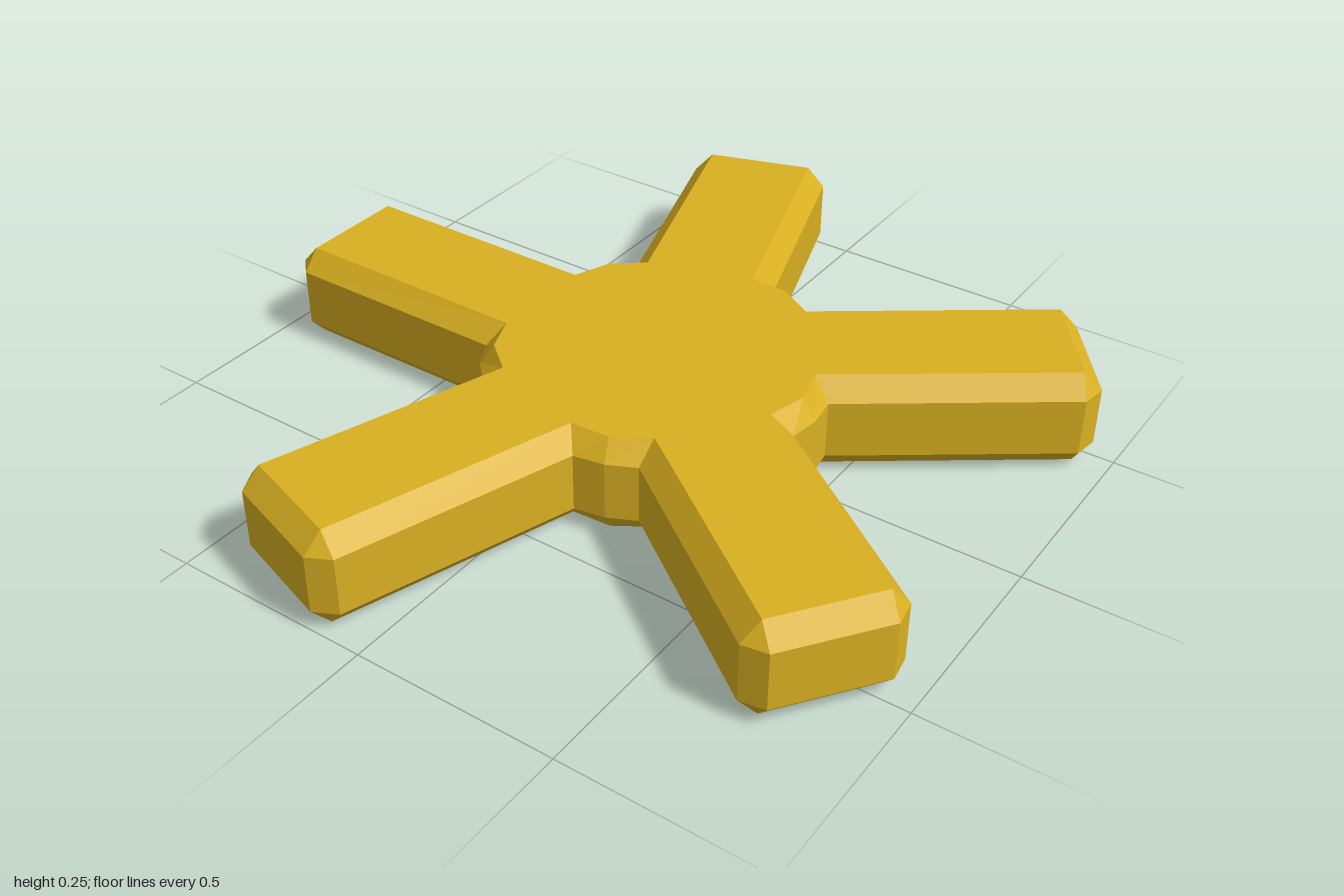
import * as THREE from 'three';

const ARMS = 5;
const HUB_Z = 0.056; // hub centre, so the whole star is centred on z = 0

// Outline of one arm plus the hub wall after it: [sideways, outward] pairs
const wide = [[-0.18, 0.376], [-0.18, 0.961], [-0.135, 1.006], [0.135, 1.006], [0.18, 0.961], [0.18, 0.376]];
const narrow = [[-0.135, 0.347], [-0.135, 0.961], [-0.135, 0.961], [0.135, 0.961], [0.135, 0.961], [0.135, 0.347]];

// Repeats the arm outline around the hub at height y
function ring(arm, hubRadius, y) {
  const points = [];
  for (let i = 0; i < ARMS; i++) {
    const t = (i / ARMS) * Math.PI * 2;
    for (const [s, a] of arm) {
      points.push(new THREE.Vector3(s * Math.cos(t) + a * Math.sin(t), y, HUB_Z + s * Math.sin(t) - a * Math.cos(t)));
    }
    const m = t + Math.PI / ARMS;
    points.push(new THREE.Vector3(hubRadius * Math.sin(m), y, HUB_Z - hubRadius * Math.cos(m)));
  }
  return points;
}

function starGeometry() {
  const rings = [
    ring(narrow, 0.385, 0),
    ring(wide, 0.42, 0.05),
    ring(wide, 0.42, 0.195),
    ring(narrow, 0.385, 0.245),
  ];
  const positions = [];
  // Skips the collapsed triangles at the chamfered tip corners
  const tri = (a, b, c) => {
    if (a.equals(b) || b.equals(c) || c.equals(a)) return;
    for (const p of [a, b, c]) positions.push(p.x, p.y, p.z);
  };
  const n = rings[0].length;
  const bottom = new THREE.Vector3(0, 0, HUB_Z);
  const top = new THREE.Vector3(0, 0.245, HUB_Z);
  for (let i = 0; i < n; i++) {
    const j = (i + 1) % n;
    // Lower bevel, wall and upper bevel
    for (let k = 0; k < 3; k++) {
      const low = rings[k], up = rings[k + 1];
      tri(low[j], low[i], up[i]);
      tri(low[j], up[i], up[j]);
    }
    // Flat faces
    tri(bottom, rings[0][i], rings[0][j]);
    tri(top, rings[3][j], rings[3][i]);
  }
  const geometry = new THREE.BufferGeometry();
  geometry.setAttribute('position', new THREE.Float32BufferAttribute(positions, 3));
  geometry.computeVertexNormals();
  return geometry;
}

export function createModel() {
  const group = new THREE.Group();
  group.name = 'fiveArmStar';
  const gold = new THREE.MeshStandardMaterial({ color: 0xd9b021, flatShading: true });
  const body = new THREE.Mesh(starGeometry(), gold);
  body.name = 'starBody';
  group.add(body);
  return group;
}
